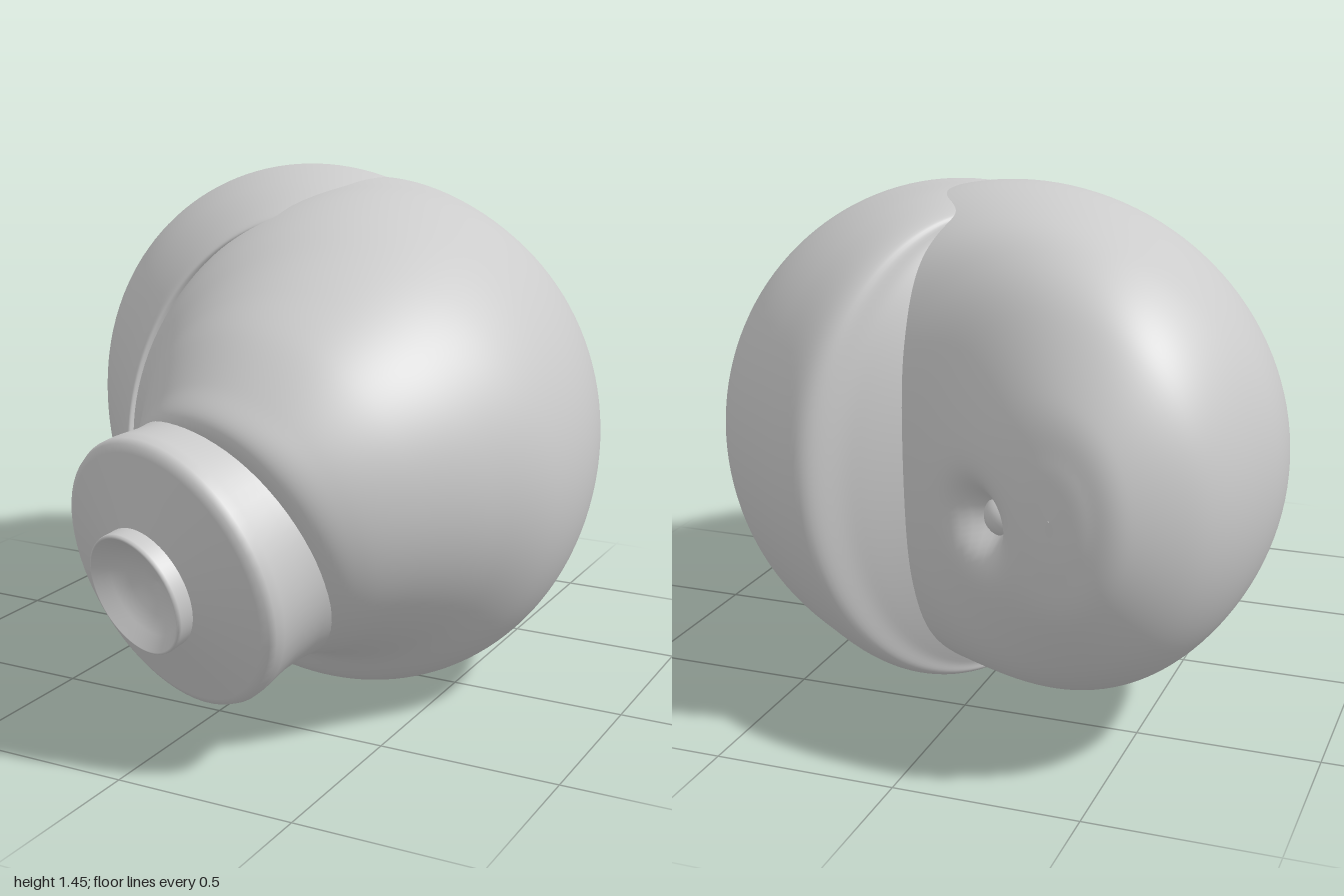
import * as THREE from 'three';

const material = new THREE.MeshStandardMaterial({ color: 0xcccccc, side: THREE.DoubleSide });

// Dimple on the rear dome
const dimple = new THREE.Vector3(-0.17, 0.69, -0.88);
const dimpleNormal = new THREE.Vector3(0.55, 0, -0.83).normalize();

// Smooth loft through tilted elliptical rings.
// Each key: left x, left z, right x, right z, centre y, half height, forward lean
function loft(keys, adjust = () => {}, perKey = 10, sides = 128) {
  const curve = (f) => new THREE.CatmullRomCurve3(keys.map(f), false, 'catmullrom', 0.5);
  const left = curve((k) => new THREE.Vector3(k[0], k[4], k[1]));
  const right = curve((k) => new THREE.Vector3(k[2], k[4], k[3]));
  const size = curve((k) => new THREE.Vector3(k[5], k[6], 0));
  const rows = (keys.length - 1) * perKey;
  const positions = [], index = [];
  const p = new THREE.Vector3();
  for (let i = 0; i <= rows; i++) {
    const t = i / rows;
    const l = left.getPoint(t), r = right.getPoint(t), s = size.getPoint(t);
    for (let j = 0; j < sides; j++) {
      const a = (j / sides) * Math.PI * 2;
      p.lerpVectors(l, r, 0.5 + 0.5 * Math.cos(a));
      p.y += s.x * Math.sin(a);
      p.z += s.x * s.y * Math.sin(a);
      adjust(p);
      positions.push(p.x, p.y, p.z);
      if (i < rows) {
        const b = i * sides + j, c = i * sides + ((j + 1) % sides);
        index.push(b, c, b + sides, c, c + sides, b + sides);
      }
    }
  }
  const geometry = new THREE.BufferGeometry();
  geometry.setAttribute('position', new THREE.Float32BufferAttribute(positions, 3));
  geometry.setIndex(index);
  geometry.computeVertexNormals();
  return geometry;
}

export function createModel() {
  const group = new THREE.Group();
  const add = (name, geometry) => {
    const mesh = new THREE.Mesh(geometry, material);
    mesh.name = name;
    group.add(mesh);
    return mesh;
  };

  // Rear lobe: domed end, overlapping the front lobe with a folded rim
  add('rearLobe', loft([
    [-0.412, -0.984, -0.408, -0.983, 0.76, 0.002, 0],
    [-0.510, -0.995, -0.310, -0.955, 0.76, 0.14, 0],
    [-0.61, -0.978, -0.20, -0.90, 0.76, 0.28, 0],
    [-0.755, -0.865, -0.01, -0.775, 0.765, 0.465, 0],
    [-0.84, -0.68, 0.16, -0.70, 0.765, 0.575, 0],
    [-0.87, -0.48, 0.38, -0.60, 0.77, 0.635, 0],
    [-0.82, -0.22, 0.58, -0.43, 0.76, 0.688, 0],
    [-0.68, 0.02, 0.65, -0.20, 0.745, 0.675, -0.04],
    [-0.50, 0.22, 0.62, 0.00, 0.725, 0.645, -0.10],
    [-0.415, 0.31, 0.60, 0.08, 0.73, 0.62, -0.15],
    [-0.395, 0.28, 0.56, 0.06, 0.73, 0.59, -0.15],
  ], (p) => {
    const d = p.distanceTo(dimple) / 0.08;
    p.addScaledVector(dimpleNormal, -0.11 * Math.exp(-d * d));
  }));

  // Rounded bead at the bottom of the dimple
  add('dimpleBead', new THREE.SphereGeometry(0.055, 24, 16))
    .position.copy(dimple).addScaledVector(dimpleNormal, -0.11);

  // Front lobe: lipped edge at the back, narrowing toward the neck
  add('frontLobe', loft([
    [-0.20, -0.10, -0.02, -0.68, 0.74, 0.54, 0],
    [-0.30, -0.03, 0.18, -0.81, 0.74, 0.62, 0],
    [-0.35, 0.00, 0.31, -0.88, 0.74, 0.655, 0],
    [-0.38, 0.15, 0.50, -0.74, 0.73, 0.69, 0],
    [-0.39, 0.24, 0.68, -0.55, 0.71, 0.705, 0],
    [-0.39, 0.30, 0.80, -0.33, 0.70, 0.70, 0],
    [-0.37, 0.345, 0.865, -0.05, 0.68, 0.67, 0.04],
    [-0.33, 0.385, 0.855, 0.20, 0.67, 0.61, 0.09],
    [-0.29, 0.425, 0.77, 0.42, 0.68, 0.525, 0.15],
    [-0.265, 0.46, 0.66, 0.60, 0.655, 0.46, 0.24],
    [-0.24, 0.51, 0.55, 0.72, 0.60, 0.395, 0.35],
    [-0.20, 0.56, 0.46, 0.76, 0.56, 0.35, 0.44],
    [-0.12, 0.58, 0.36, 0.72, 0.54, 0.28, 0.45],
  ]));

  // Neck and dished stub share one tilted axis
  const neck = new THREE.Group();
  neck.name = 'neckAssembly';
  neck.position.set(0.048, 0.504, 0.825);
  neck.quaternion.setFromUnitVectors(
    new THREE.Vector3(0, 1, 0), new THREE.Vector3(-0.31, -0.26, 1).normalize());
  group.add(neck);
  const turned = (name, points) => {
    const profile = points.map(([r, y]) => new THREE.Vector2(r, y));
    const mesh = new THREE.Mesh(new THREE.LatheGeometry(profile, 64), material);
    mesh.name = name;
    neck.add(mesh);
  };
  turned('neck', [
    [0.39, -0.42], [0.378, -0.30], [0.366, -0.20], [0.366, -0.12],
    [0.377, -0.04], [0.378, -0.01], [0.370, 0.008], [0.35, 0.018], [0.15, 0.075],
  ]);
  turned('stub', [
    [0.165, 0.03], [0.168, 0.11], [0.166, 0.118], [0.16, 0.12],
    [0.13, 0.085], [0.09, 0.058], [0.045, 0.042], [0, 0.037],
  ]);
  return group;
}
